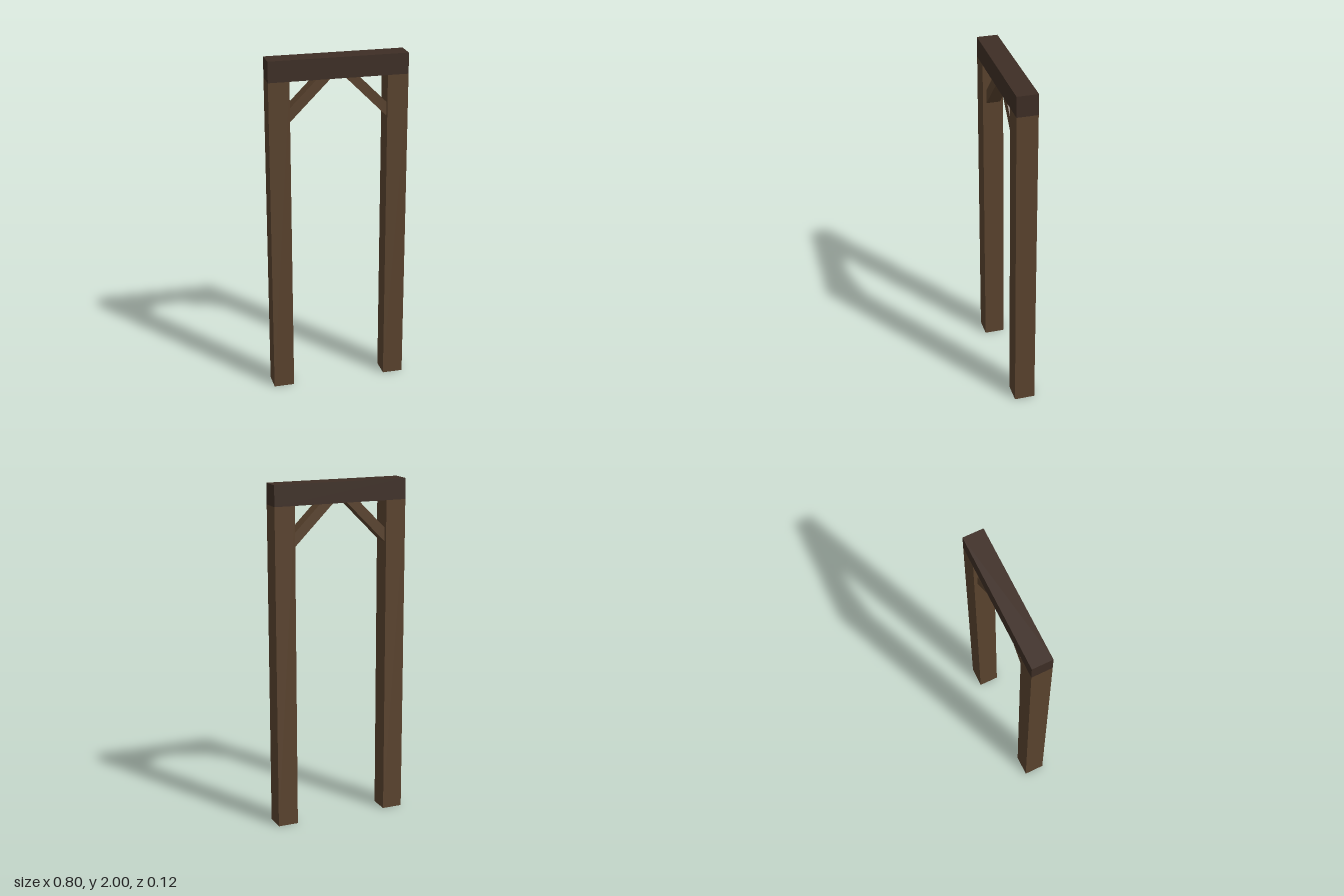
import * as THREE from 'three';

const T = 0.12; // timber thickness
const W = 0.8; // overall width
const H = 2; // overall height
const BRACE_DEPTH = 0.08;

export function createModel() {
  const group = new THREE.Group();
  group.name = 'timberDoorFrame';
  const postWood = new THREE.MeshStandardMaterial({ color: 0x5a432e, flatShading: true });
  const beamWood = new THREE.MeshStandardMaterial({ color: 0x3e2e25, flatShading: true });

  const add = (name, geometry, material, x = 0, y = 0) => {
    const mesh = new THREE.Mesh(geometry, material);
    mesh.name = name;
    mesh.position.set(x, y, 0);
    group.add(mesh);
  };

  // Lintel resting on both posts
  add('topBeam', new THREE.BoxGeometry(W, T, T), beamWood, 0, H - T / 2);

  const postHeight = H - T;
  const inner = W / 2 - T; // inner face of a post
  for (const [label, side] of [['left', 1], ['right', -1]]) {
    // Upright post
    add(label + 'Post', new THREE.BoxGeometry(T, postHeight, T), postWood,
      side * (W - T) / 2, postHeight / 2);

    // Diagonal knee brace, mitred against the post and the beam
    const outline = [
      [inner, postHeight - 0.24], [inner, postHeight - 0.16],
      [inner - 0.16, postHeight], [inner - 0.24, postHeight],
    ].map(([x, y]) => new THREE.Vector2(side * x, y));
    const brace = new THREE.ExtrudeGeometry(new THREE.Shape(outline), {
      depth: BRACE_DEPTH, bevelEnabled: false,
    });
    brace.translate(0, 0, -BRACE_DEPTH / 2);
    add(label + 'Brace', brace, postWood);
  }
  return group;
}
